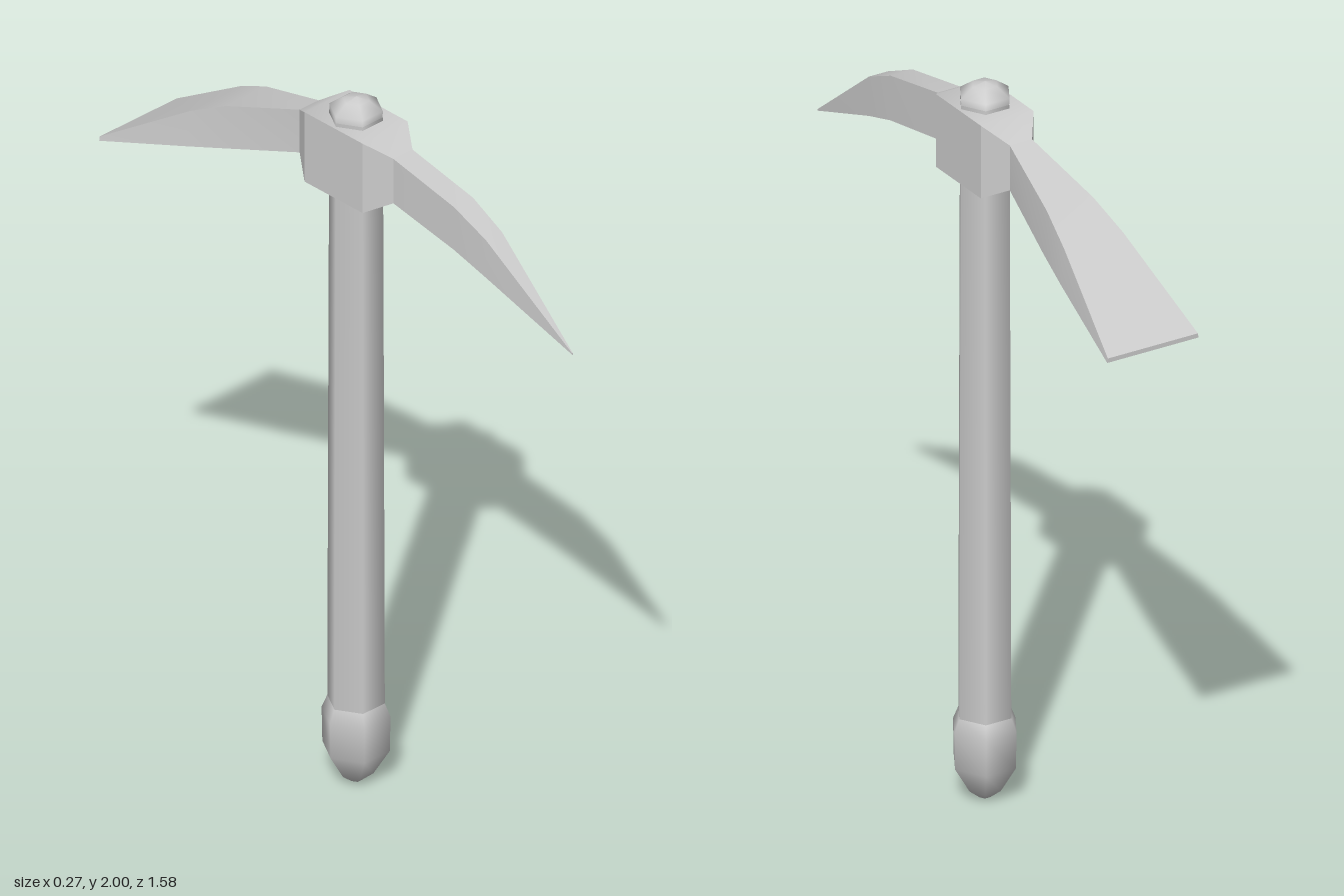
import * as THREE from 'three';
import { toCreasedNormals } from 'three/addons/utils/BufferGeometryUtils.js';

const material = new THREE.MeshStandardMaterial({ color: 0xcccccc });

// Six-sided turned part with corners on the +x and -x sides
function turned(name, profile) {
  const points = profile.map(([r, y]) => new THREE.Vector2(r, y));
  const mesh = new THREE.Mesh(new THREE.LatheGeometry(points, 6, Math.PI / 6), material);
  mesh.name = name;
  return mesh;
}

// Loft of four-cornered sections, each [z, yBottom, yTop, halfBottom, halfTop], ordered by rising z
function loft(name, sections) {
  const positions = [];
  const index = [];
  for (const [z, y0, y1, w0, w1] of sections) {
    positions.push(-w0, y0, z, w0, y0, z, w1, y1, z, -w1, y1, z);
  }
  const last = (sections.length - 1) * 4;
  for (let s = 0; s < last; s += 4) {
    for (let i = 0; i < 4; i++) {
      const a = s + i;
      const b = s + (i + 1) % 4;
      index.push(a, b, b + 4, a, b + 4, a + 4);
    }
  }
  index.push(0, 2, 1, 0, 3, 2, last, last + 1, last + 2, last, last + 2, last + 3);
  const geometry = new THREE.BufferGeometry();
  geometry.setAttribute('position', new THREE.Float32BufferAttribute(positions, 3));
  geometry.setIndex(index);
  const mesh = new THREE.Mesh(toCreasedNormals(geometry, THREE.MathUtils.degToRad(32)), material);
  mesh.name = name;
  return mesh;
}

export function createModel() {
  const model = new THREE.Group();
  model.name = 'pickaxe';

  // Shaft, rounded pommel at the foot and knob above the head
  model.add(turned('shaft', [[0.075, 0.22], [0.073, 1.0], [0.07, 1.95]]));
  model.add(turned('pommel', [
    [0, 0], [0.015, 0.003], [0.045, 0.027], [0.088, 0.1], [0.09, 0.2], [0.075, 0.237],
  ]));
  model.add(turned('topKnob', [
    [0.068, 1.93], [0.07, 1.968], [0.035, 1.993], [0, 2.0],
  ]));

  // Flat blade behind, socket in the middle, spike in front
  model.add(loft('blade', [
    [-0.79, 1.58, 1.592, 0.135, 0.133],
    [-0.51, 1.67, 1.77, 0.096, 0.087],
    [-0.4, 1.705, 1.825, 0.078, 0.069],
    [-0.17, 1.775, 1.9, 0.033, 0.033],
  ]));
  model.add(loft('socket', [
    [-0.17, 1.775, 1.9, 0.033, 0.033],
    [-0.105, 1.737, 1.94, 0.078, 0.078],
    [0.105, 1.737, 1.94, 0.078, 0.078],
    [0.17, 1.775, 1.905, 0.033, 0.033],
  ]));
  model.add(loft('spike', [
    [0.17, 1.775, 1.905, 0.033, 0.033],
    [0.39, 1.735, 1.86, 0.033, 0.033],
    [0.5, 1.7, 1.81, 0.028, 0.028],
    [0.785, 1.588, 1.592, 0.001, 0.001],
  ]));
  return model;
}
